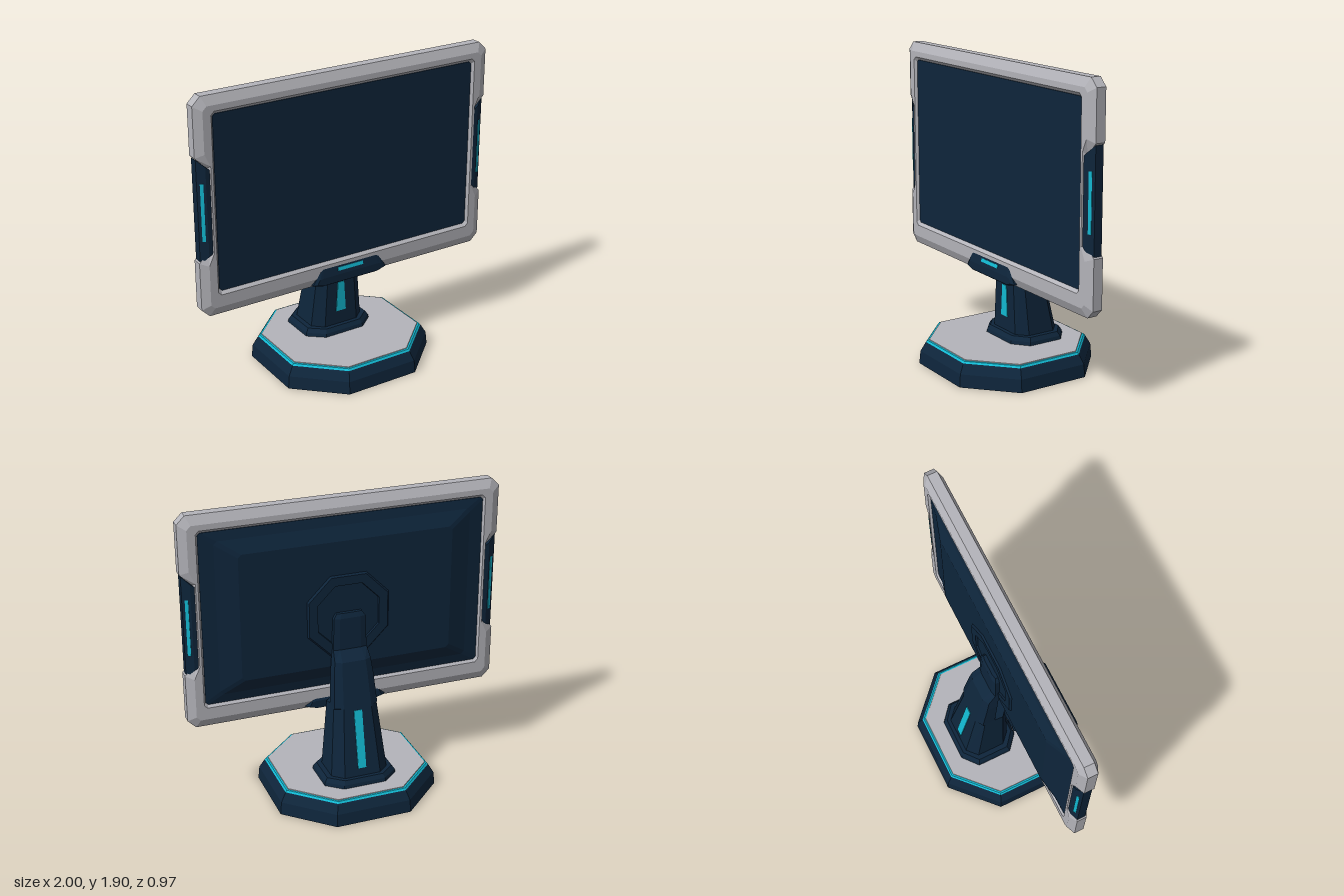
import * as THREE from 'three';

const navy = new THREE.MeshStandardMaterial({ color: 0x0e253b });
navy.name = 'navy shell';
const grey = new THREE.MeshStandardMaterial({ color: 0xb4b4ba });
grey.name = 'light grey trim';
const cyan = new THREE.MeshStandardMaterial({ color: 0x12b9d2 });
cyan.name = 'cyan light';

// Mirror points of the first quadrant (from the x axis round to the y axis) into a full loop
function sym(q, cy = 0) {
  const r = [...q].reverse();
  return [
    ...q.map(([x, y]) => [x, y + cy]), ...r.map(([x, y]) => [-x, y + cy]),
    ...q.map(([x, y]) => [-x, cy - y]), ...r.map(([x, y]) => [x, cy - y]),
  ];
}

// Chamfered rectangle
const rect = (hx, hy, cx, cy = cx, oy = 0) => sym([[hx, hy - cy], [hx - cx, hy]], oy);

// Flat-shaded skin over counter-clockwise loops, each [height, points], rising along z (or y)
function loft(sections, { axis = 'z', caps = true } = {}) {
  const pos = [];
  const loops = sections.map(([h, pts]) => pts.map(([u, v]) => (axis === 'z' ? [u, v, h] : [u, h, -v])));
  const tri = (a, b, c) => pos.push(...a, ...b, ...c);
  const n = loops[0].length;
  for (let i = 0; i < loops.length - 1; i++) {
    for (let j = 0; j < n; j++) {
      const k = (j + 1) % n, lo = loops[i], hi = loops[i + 1];
      tri(lo[j], lo[k], hi[k]);
      tri(lo[j], hi[k], hi[j]);
    }
  }
  if (caps) {
    const first = loops[0], last = loops[loops.length - 1];
    for (let j = 1; j < n - 1; j++) {
      tri(first[0], first[j + 1], first[j]);
      tri(last[0], last[j], last[j + 1]);
    }
  }
  const g = new THREE.BufferGeometry();
  g.setAttribute('position', new THREE.Float32BufferAttribute(pos, 3));
  g.computeVertexNormals();
  return g;
}

function add(parent, name, geometry, material, position = [0, 0, 0], rotation = [0, 0, 0]) {
  const m = new THREE.Mesh(geometry, material);
  m.name = name;
  m.position.set(...position);
  m.rotation.set(...rotation);
  parent.add(m);
  return m;
}

function buildBase(root) {
  const base = new THREE.Group();
  base.name = 'base';
  root.add(base);
  const oct = (s) => sym([[0.515 * s, 0.23 * s], [0.24 * s, 0.487 * s]]);
  const y = { axis: 'y' };
  add(base, 'baseBody', loft([[0, oct(1)], [0.08, oct(0.985)], [0.13, oct(0.93)], [0.14, oct(0.915)]], y), navy);
  add(base, 'baseLightRing', loft([[0.137, oct(0.922)], [0.148, oct(0.905)], [0.15, oct(0.88)]], y), cyan);
  add(base, 'baseTop', loft([[0.145, oct(0.888)], [0.154, oct(0.882)]], y), grey);

  // Stepped collar at the foot of the stand
  const ring = (hx, hz) => rect(hx, hz, hx * 0.42, hz * 0.42);
  add(base, 'standCollar', loft([[0.15, ring(0.235, 0.195)], [0.175, ring(0.23, 0.19)], [0.2, ring(0.213, 0.174)]], y),
    navy, [0, 0, -0.138]);
}

function buildStand(root) {
  const stand = new THREE.Group();
  stand.name = 'stand';
  root.add(stand);
  // Height, half width, front z, back z
  const rows = [
    [0.17, 0.185, 0.01, -0.295], [0.62, 0.14, 0.01, -0.2], [0.63, 0.139, -0.06, -0.198],
    [0.83, 0.125, -0.04, -0.155], [0.91, 0.115, -0.03, -0.137], [0.97, 0.107, -0.03, -0.078],
    [1.17, 0.1, -0.03, -0.072], [1.2, 0.08, -0.03, -0.06],
  ];
  add(stand, 'neck', loft(rows.map(([h, w, zf, zb]) =>
    [h, rect(w, (zf - zb) / 2, w * 0.36, (zf - zb) * 0.2, -(zf + zb) / 2)]), { axis: 'y' }), navy);

  // Light strips on the front and the sloping back
  add(stand, 'frontLight', loft([[0.008, [[-0.035, 0.29], [0.035, 0.29], [0.022, 0.49], [-0.022, 0.49]]],
    [0.014, [[-0.035, 0.29], [0.035, 0.29], [0.022, 0.49], [-0.022, 0.49]]]]), cyan);
  add(stand, 'backLight', new THREE.BoxGeometry(0.052, 0.37, 0.008), cyan, [0, 0.43, -0.241], [0.208, 0, 0]);
}

function buildScreen(root) {
  const screen = new THREE.Group();
  screen.name = 'display';
  root.add(screen);

  // Frame with chamfered corners and a notch in each side
  const outer = sym([[0.93, 0.25], [1, 0.32], [1, 0.62], [0.95, 0.67]], 1.23);
  const bevel = sym([[0.915, 0.265], [0.95, 0.34], [0.95, 0.59], [0.925, 0.615]], 1.23);
  const lip = sym([[0.9, 0.265], [0.9, 0.34], [0.9, 0.54], [0.88, 0.56]], 1.25);
  const inner = sym([[0.885, 0.265], [0.885, 0.34], [0.885, 0.525], [0.87, 0.54]], 1.25);
  add(screen, 'frame', loft([
    [0.02, inner], [0, lip], [0, bevel], [0.028, outer], [0.09, outer],
    [0.115, bevel], [0.115, lip], [0.095, inner], [0.02, inner],
  ], { caps: false }), grey);

  const panel = (hx, hy, c) => rect(hx, hy, c, c, 1.25);
  add(screen, 'screenPanel', loft([[0.04, panel(0.885, 0.54, 0.015)], [0.1, panel(0.885, 0.54, 0.015)]]), navy);
  add(screen, 'backShell', loft([
    [-0.037, panel(0.67, 0.4, 0.02)], [0, panel(0.8, 0.485, 0.02)],
    [0.012, panel(0.888, 0.543, 0.015)], [0.04, panel(0.885, 0.54, 0.015)],
  ]), navy);

  // Raised octagonal mounting ring on the back
  const oct = (r) => rect(r, r, r * 0.56, r * 0.56, 1.18);
  add(screen, 'mountRing', loft([
    [-0.03, oct(0.19)], [-0.049, oct(0.195)], [-0.049, oct(0.25)], [-0.03, oct(0.265)],
  ].reverse().map(([h, p]) => [h, p]).reverse(), { caps: false }), navy);

  // Side grips with light strips on their bevels
  const grip = (x) => {
    const h = 0.255 + (x - 0.925) * 0.95;
    return [[0.9, -0.25], [0.915, -0.25], [x, -h], [x, h], [0.915, 0.25], [0.9, 0.25]];
  };
  const gripGeometry = loft([[-0.05, grip(0.945)], [-0.026, grip(0.992)], [0.026, grip(0.992)], [0.05, grip(0.945)]]);
  const strip = new THREE.BoxGeometry(0.02, 0.35, 0.006);
  for (const side of ['left', 'right']) {
    const g = new THREE.Group();
    g.name = side + 'SideGrip';
    g.position.set(0, 1.22, 0.058);
    g.rotation.y = side === 'left' ? 0 : Math.PI;
    add(g, side + 'Grip', gripGeometry, navy);
    for (const s of [1, -1]) {
      add(g, side + 'GripLight', strip, cyan, [0.967, 0, s * 0.039], [0, s * 0.47, 0]);
    }
    screen.add(g);
  }

  // Chin under the screen with a small light
  const chin = [[-0.2, 0.555], [0.2, 0.555], [0.265, 0.575], [0.21, 0.655], [0.19, 0.667],
    [-0.19, 0.667], [-0.21, 0.655], [-0.265, 0.575]];
  const chinFace = [[-0.19, 0.563], [0.19, 0.563], [0.24, 0.577], [0.222, 0.606], [0.2, 0.612],
    [-0.2, 0.612], [-0.222, 0.606], [-0.24, 0.577]];
  add(screen, 'chin', loft([[-0.006, chinFace], [0.02, chin], [0.115, chin], [0.127, chinFace]]), navy);
  add(screen, 'chinLight', new THREE.BoxGeometry(0.18, 0.022, 0.006), cyan, [0, 0.646, 0.12], [-0.22, 0, 0]);
}

export function createModel() {
  const root = new THREE.Group();
  root.name = 'monitor';
  buildBase(root);
  buildStand(root);
  buildScreen(root);
  return root;
}
